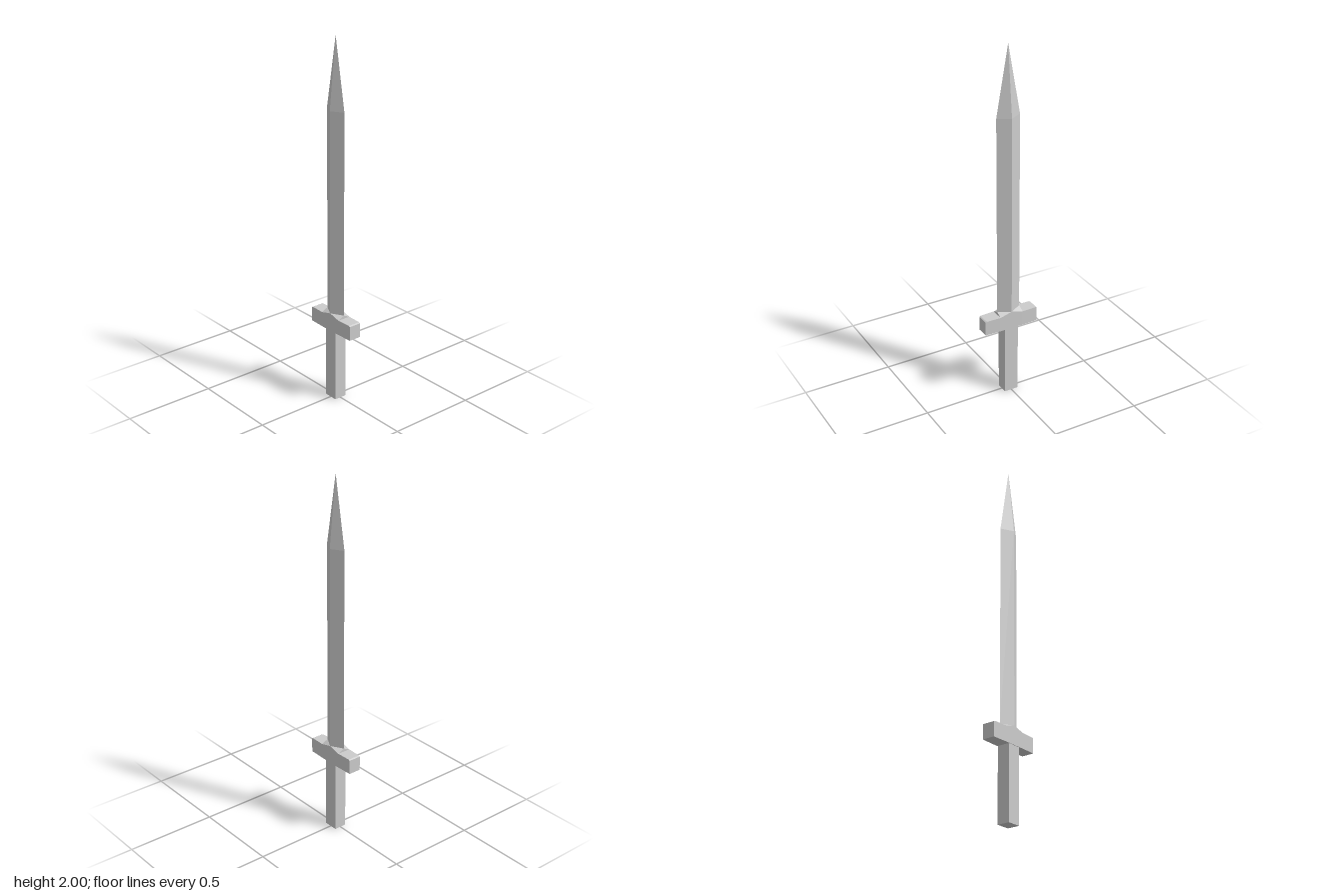
import * as THREE from 'three';
import { ConvexGeometry } from 'three/addons/geometries/ConvexGeometry.js';

const material = new THREE.MeshStandardMaterial({ color: 0xcccccc, flatShading: true });
const HALF_X = 0.038; // half thickness of the blade
const HALF_Z = 0.068; // half width of the blade
const GUARD_BOTTOM = 0.403, GUARD_TOP = 0.487, BLADE_BOTTOM = 0.505, SHOULDER = 1.62, TIP = 2;

// four corners of a rectangle at height y
const rectangle = (x, y, z) =>
  [[x, z], [x, -z], [-x, -z], [-x, z]].map(([a, b]) => new THREE.Vector3(a, y, b));

// four corners of a diamond at height y
const diamond = (x, y, z) =>
  [[x, 0], [0, -z], [-x, 0], [0, z]].map(([a, b]) => new THREE.Vector3(a, y, b));

export function createModel() {
  const model = new THREE.Group();
  model.name = 'sword';

  const add = (name, geometry, y = 0) => {
    const mesh = new THREE.Mesh(geometry, material);
    mesh.name = name;
    mesh.position.y = y;
    model.add(mesh);
  };

  // square-edged handle
  add('grip', new THREE.BoxGeometry(0.07, GUARD_BOTTOM, 0.08), GUARD_BOTTOM / 2);

  // crossguard, thinning slightly from the centre to both ends
  add('crossguard', new ConvexGeometry([
    ...rectangle(HALF_X, GUARD_BOTTOM, HALF_Z),
    ...rectangle(HALF_X, GUARD_TOP, HALF_Z),
    ...rectangle(0.035, GUARD_BOTTOM, 0.158),
    ...rectangle(0.035, GUARD_TOP, 0.15),
    ...rectangle(0.035, GUARD_TOP - 0.004, 0.158),
  ]));

  // collar blending the rectangular guard into the diamond blade
  add('collar', new ConvexGeometry([
    ...rectangle(HALF_X, GUARD_TOP, HALF_Z),
    ...diamond(HALF_X, BLADE_BOTTOM, HALF_Z),
  ]));

  // diamond-section blade
  const bladeLength = SHOULDER - BLADE_BOTTOM;
  const blade = new THREE.CylinderGeometry(1, 1, bladeLength, 4, 1, true);
  blade.scale(HALF_X, 1, HALF_Z);
  add('blade', blade, BLADE_BOTTOM + bladeLength / 2);

  // four-sided point
  const point = new THREE.ConeGeometry(1, TIP - SHOULDER, 4, 1, true);
  point.scale(HALF_X, 1, HALF_Z);
  add('bladeTip', point, (TIP + SHOULDER) / 2);

  return model;
}
